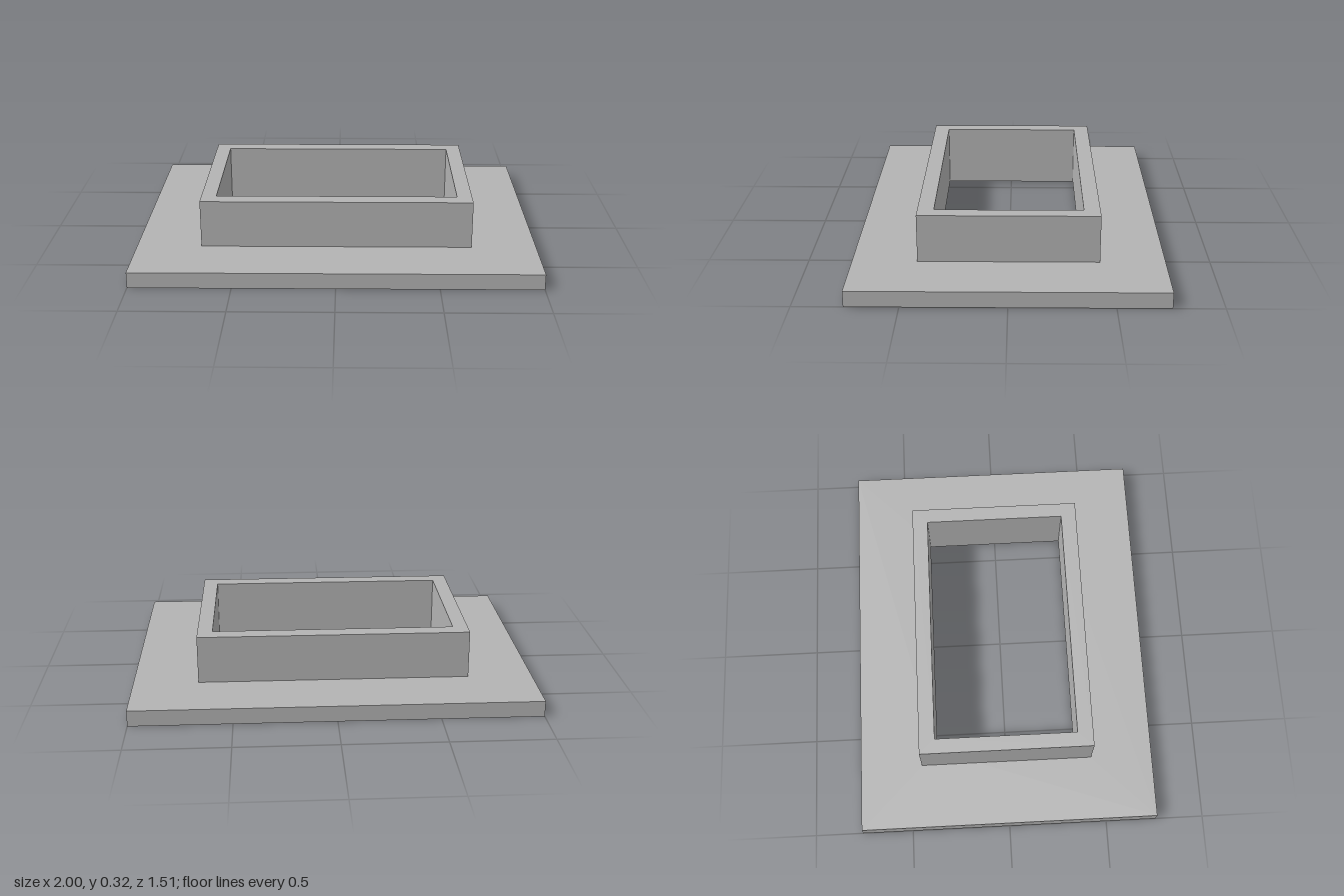
import * as THREE from 'three';

// Rectangle outline centred on the origin
function rectangle(Type, halfX, halfZ) {
  return new Type([
    new THREE.Vector2(-halfX, -halfZ),
    new THREE.Vector2(halfX, -halfZ),
    new THREE.Vector2(halfX, halfZ),
    new THREE.Vector2(-halfX, halfZ),
  ]);
}

// Upright rectangular ring around the shared opening
function frame(name, halfX, halfZ, bottom, top, material) {
  const shape = rectangle(THREE.Shape, halfX, halfZ);
  shape.holes.push(rectangle(THREE.Path, 0.602, 0.361));
  const geometry = new THREE.ExtrudeGeometry(shape, { depth: top - bottom, bevelEnabled: false });
  geometry.rotateX(-Math.PI / 2);
  geometry.translate(0, bottom, 0);
  const mesh = new THREE.Mesh(geometry, material);
  mesh.name = name;
  return mesh;
}

export function createModel() {
  const grey = new THREE.MeshStandardMaterial({ color: 0xb3b3b3 });
  grey.name = 'grey';

  const model = new THREE.Group();
  model.name = 'flangedFrame';
  model.add(
    frame('basePlate', 1, 0.757, 0, 0.08, grey), // wide flat flange
    frame('collar', 0.677, 0.441, 0.08, 0.32, grey), // raised wall round the opening
  );
  return model;
}
